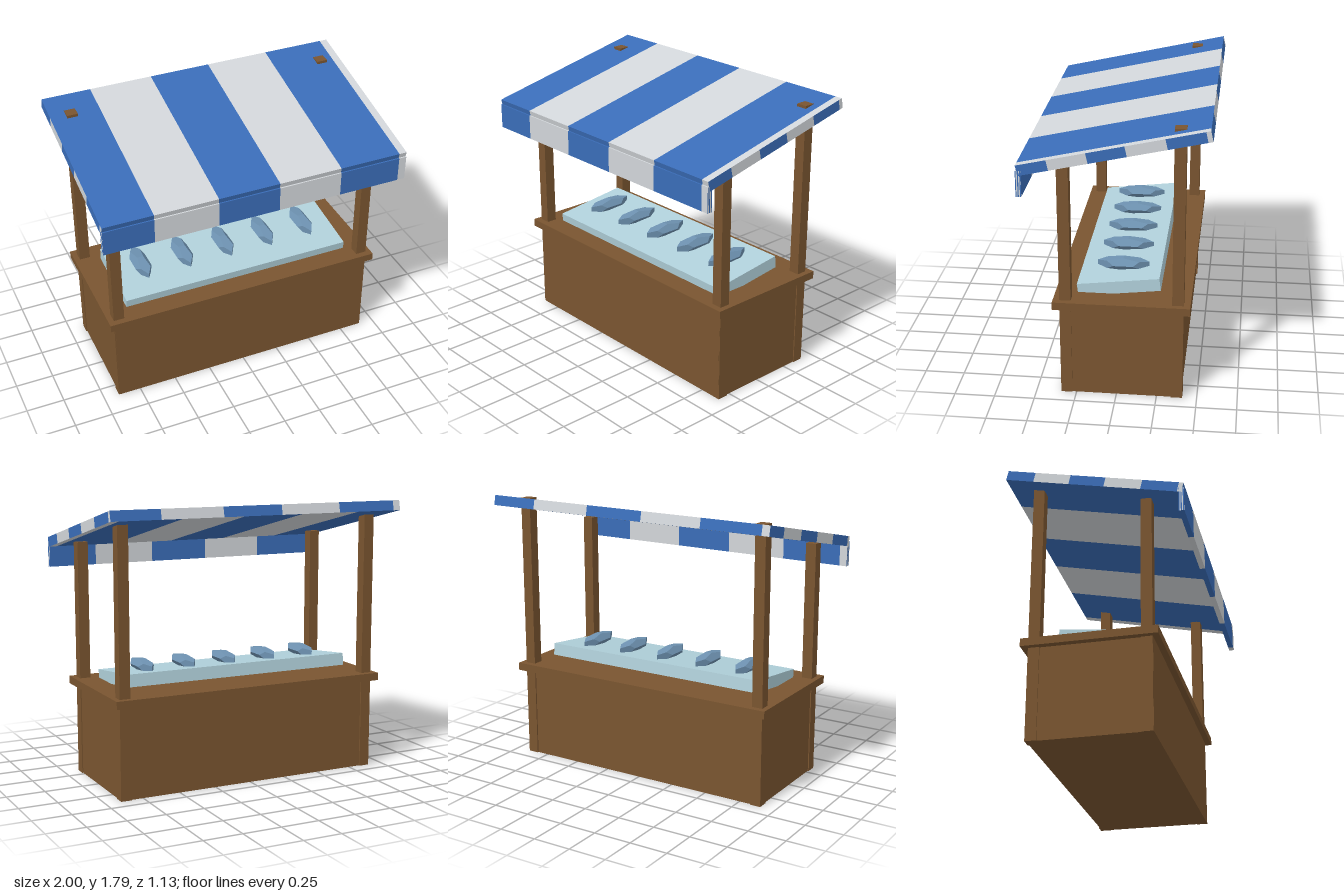
import * as THREE from 'three';
import { mergeGeometries } from 'three/addons/utils/BufferGeometryUtils.js';

const flat = (name, hex) => new THREE.MeshStandardMaterial({ name, color: hex });

// Stripe edges as fractions across each face, alternating blue and white
const STRIPES = [0, 0.16, 0.365, 0.565, 0.772, 0.975, 1];

// A box whose six faces are each cut into stripes; one merged mesh per colour
function stripedBox(name, w, h, d, blue, white) {
  const half = Math.PI / 2;
  const faces = [
    // width, height, distance from centre, rotation about x, rotation about y
    [w, h, d / 2, 0, 0],
    [w, h, d / 2, 0, Math.PI],
    [d, h, w / 2, 0, half],
    [d, h, w / 2, 0, -half],
    [w, d, h / 2, -half, 0],
    [w, d, h / 2, half, 0],
  ];
  const parts = [[], []];
  for (const [fw, fh, dist, rx, ry] of faces) {
    for (let i = 0; i < STRIPES.length - 1; i++) {
      const a = STRIPES[i], b = STRIPES[i + 1];
      const strip = new THREE.PlaneGeometry((b - a) * fw, fh);
      strip.translate(((a + b) / 2 - 0.5) * fw, 0, dist);
      strip.rotateX(rx).rotateY(ry);
      parts[i % 2].push(strip);
    }
  }
  const group = new THREE.Group();
  group.name = name;
  [blue, white].forEach((material, i) => {
    const mesh = new THREE.Mesh(mergeGeometries(parts[i]), material);
    mesh.name = name + (i ? 'WhiteStripes' : 'BlueStripes');
    group.add(mesh);
  });
  return group;
}

export function createModel() {
  const model = new THREE.Group();
  model.name = 'marketStall';

  const wood = flat('wood', 0x7a5530);
  const blue = flat('awningBlue', 0x3a6db8);
  const white = flat('awningWhite', 0xd2d6da);
  const ice = flat('ice', 0xb0d0da);
  const fishSkin = flat('fishSkin', 0x6d91b0);
  fishSkin.flatShading = true;

  const box = (name, material, w, h, d, x, y, z) => {
    const mesh = new THREE.Mesh(new THREE.BoxGeometry(w, h, d), material);
    mesh.name = name;
    mesh.position.set(x, y, z);
    model.add(mesh);
    return mesh;
  };

  // Counter base and overhanging top
  box('counterBase', wood, 1.786, 0.59, 0.747, 0, 0.295, -0.0275);
  box('counterTop', wood, 1.87, 0.05, 0.835, 0, 0.615, -0.0325);

  // Corner posts; the rear pair pokes through the awning
  for (const side of [-1, 1]) {
    box('frontPost', wood, 0.07, 1.53, 0.07, side * 0.865, 0.765, 0.31);
    box('backPost', wood, 0.07, 1.762, 0.07, side * 0.865, 0.881, -0.375);
  }

  // Sloping awning and its hanging front valance
  const awning = stripedBox('awning', 2, 0.065, 1.14, blue, white);
  awning.position.set(0, 1.635, 0);
  awning.rotation.x = 0.22;
  const valance = stripedBox('valance', 2, 0.16, 0.034, blue, white);
  valance.position.set(0, 1.43, 0.548);
  model.add(awning, valance);

  // Bed of ice, tipped toward the customer
  box('iceBed', ice, 1.56, 0.08, 0.51, 0, 0.684, -0.004).rotation.x = 0.118;

  // Row of faceted fish
  const fishShape = new THREE.DodecahedronGeometry(1);
  for (let i = -2; i <= 2; i++) {
    const fish = new THREE.Mesh(fishShape, fishSkin);
    fish.name = 'fish';
    fish.scale.set(0.059, 0.043, 0.173);
    fish.position.set(i * 0.292, 0.757, -0.014);
    model.add(fish);
  }

  return model;
}
